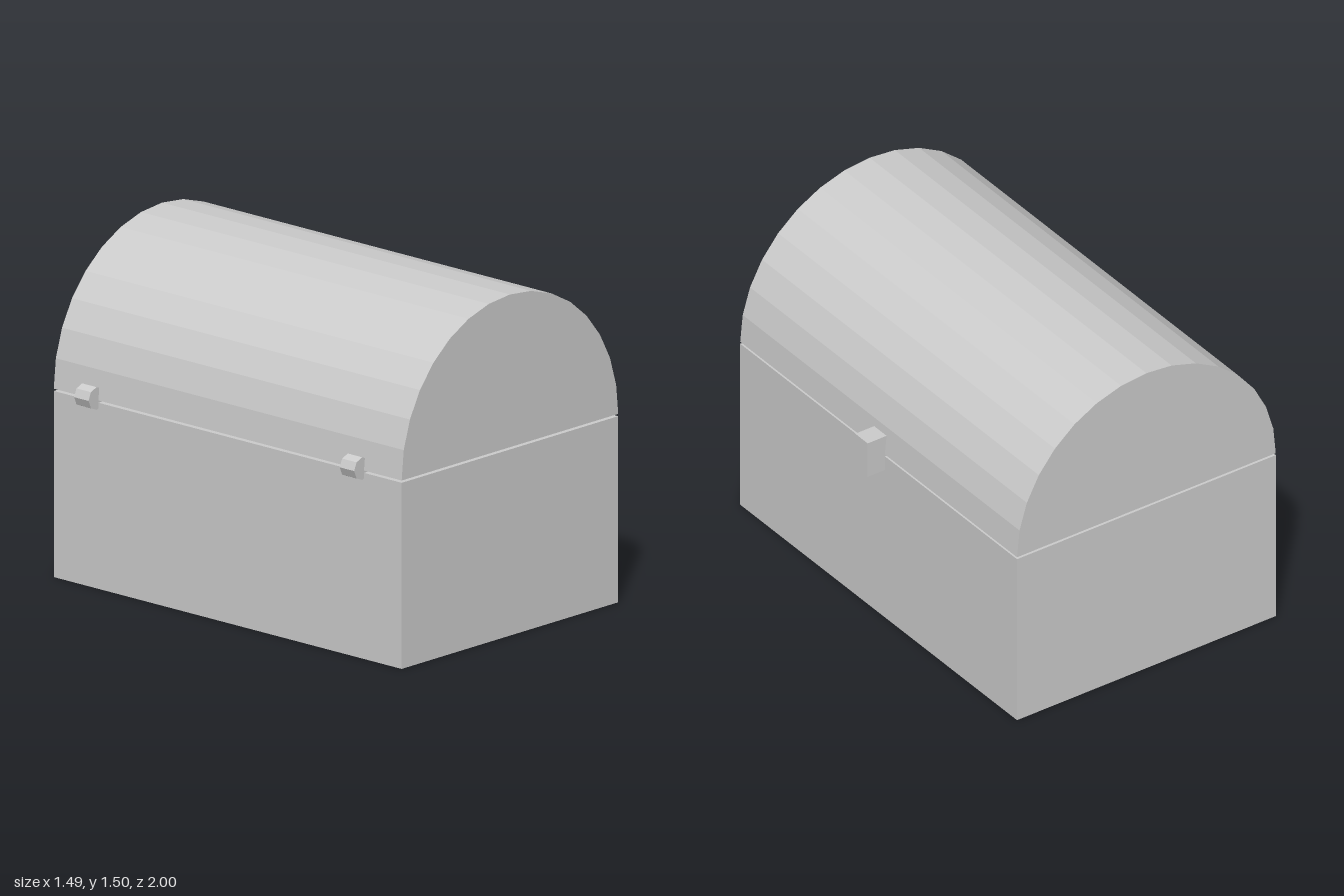
import * as THREE from 'three';

const material = new THREE.MeshStandardMaterial({ color: 0xcccccc, flatShading: true });

function addPart(group, name, geometry, x, y, z) {
  const mesh = new THREE.Mesh(geometry, material);
  mesh.name = name;
  mesh.position.set(x, y, z);
  group.add(mesh);
  return mesh;
}

// Prism along z, centred on z = 0, from an arc of straight facets (closed by a chord)
function arcPrism(radius, segments, angle, length) {
  const points = [];
  const count = angle < Math.PI * 2 ? segments + 1 : segments;
  for (let i = 0; i < count; i++) {
    const a = (i / segments) * angle;
    points.push(new THREE.Vector2(radius * Math.cos(a), radius * Math.sin(a)));
  }
  const geometry = new THREE.ExtrudeGeometry(new THREE.Shape(points), { depth: length, bevelEnabled: false });
  return geometry.translate(0, 0, -length / 2);
}

export function createModel() {
  const chest = new THREE.Group();
  chest.name = 'chest';
  const centreX = -0.015;
  const halfWidth = 0.672;

  // Box-shaped base
  addPart(chest, 'base', new THREE.BoxGeometry(halfWidth * 2, 0.819, 2), centreX, 0.4095, 0);

  // Half-round lid, just clear of the base
  addPart(chest, 'lid', arcPrism(halfWidth, 16, Math.PI, 2), centreX, 0.829, 0);

  // Lock block bridging lid and base
  addPart(chest, 'lock', new THREE.BoxGeometry(0.108, 0.17, 0.09), 0.692, 0.835, 0);

  // Two octagonal hinges on the opposite side
  for (const [name, z] of [['frontHinge', 0.742], ['backHinge', -0.785]]) {
    addPart(chest, name, arcPrism(0.05, 8, Math.PI * 2, 0.083), -0.698, 0.84, z);
  }

  return chest;
}
